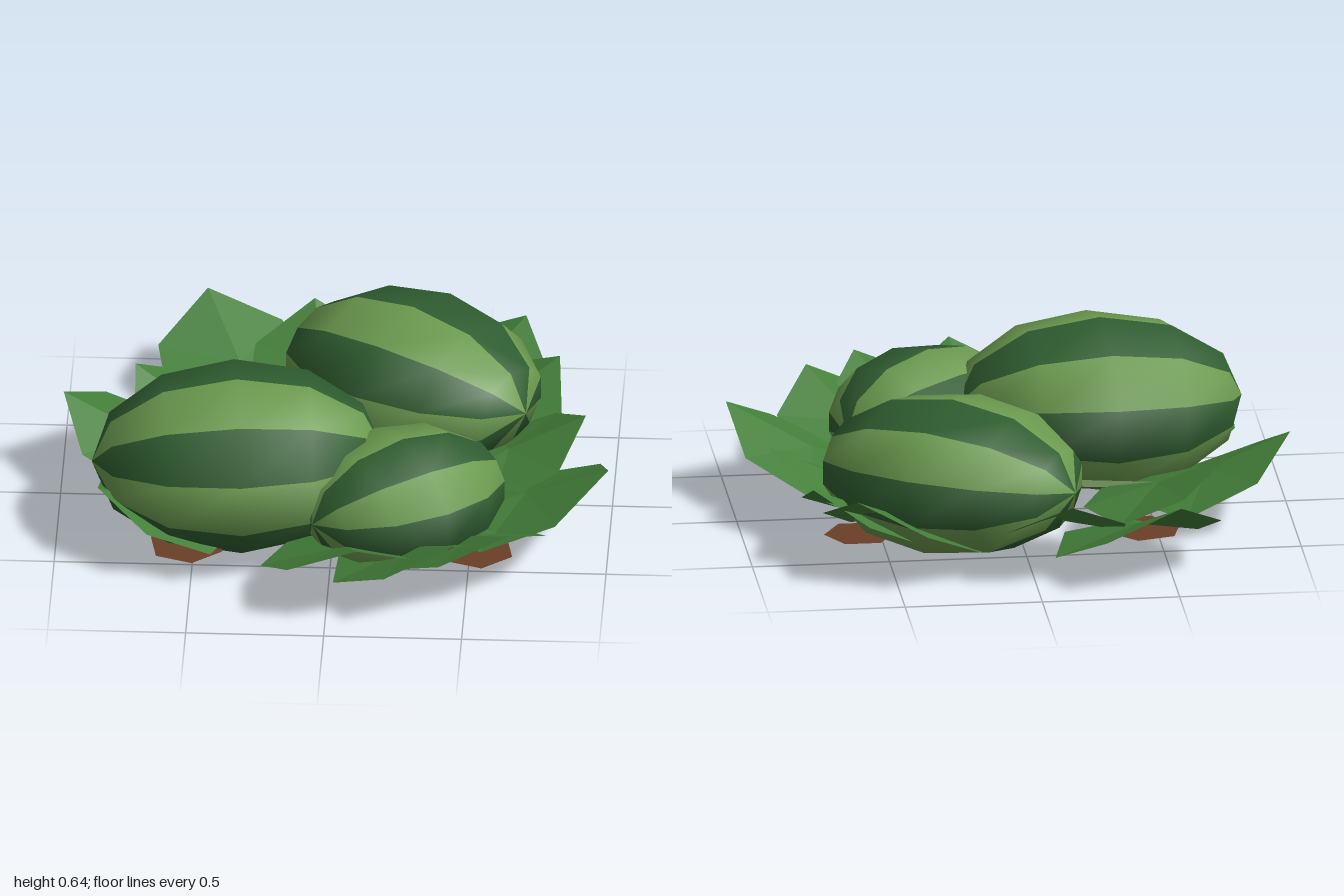
import * as THREE from 'three';

const lightRind = new THREE.MeshStandardMaterial({ color: 0x6b9a4f });
const darkRind = new THREE.MeshStandardMaterial({ color: 0x2f5d30 });
const leafGreen = new THREE.MeshStandardMaterial({ color: 0x44803a, side: THREE.DoubleSide, flatShading: true });
const stemGreen = new THREE.MeshStandardMaterial({ color: 0x5c8040, flatShading: true });
const dryBrown = new THREE.MeshStandardMaterial({ color: 0x6b4028, side: THREE.DoubleSide, flatShading: true });

// Half circle from pole to pole, turned into the melon wedges
const profile = [];
for (let i = 0; i <= 6; i++) {
  const a = (i * Math.PI) / 6;
  profile.push(new THREE.Vector2(Math.sin(a), -Math.cos(a)));
}

// Melon: ten flat-sided wedges of an ellipsoid, alternating light and dark
function makeMelon(center, axis, tilt, [halfLength, halfHeight, halfWidth]) {
  const melon = new THREE.Group();
  melon.name = 'melon';
  const step = Math.PI / 5;
  for (let i = 0; i < 10; i++) {
    const wedge = new THREE.LatheGeometry(profile, 1, -Math.PI / 2 + i * step, step);
    wedge.rotateZ(-Math.PI / 2); // poles along x, first seam on top
    wedge.scale(halfLength, halfHeight, halfWidth);
    const stripe = new THREE.Mesh(wedge, i % 2 ? darkRind : lightRind);
    stripe.name = i % 2 ? 'darkStripe' : 'lightStripe';
    melon.add(stripe);
  }
  melon.position.set(...center);
  melon.rotation.set(0, Math.atan2(-axis[1], axis[0]), tilt);
  return melon;
}

// Polygon leaf with one corner as its tip: the tip rises, the sides fall away from the midrib
function makeLeaf([x, z, radius, heading], { name, material, sides, height, rise, fold }) {
  const angle = THREE.MathUtils.degToRad(heading);
  const geometry = new THREE.CircleGeometry(radius, sides);
  geometry.rotateX(-Math.PI / 2); // tip along +x
  const pos = geometry.attributes.position;
  for (let i = 0; i < pos.count; i++) {
    const along = pos.getX(i);
    const slope = along > 0 ? rise : rise * 0.4;
    pos.setY(i, slope * along - fold * Math.abs(pos.getZ(i)));
  }
  geometry.rotateY(-angle).translate(x, height, z);
  geometry.computeVertexNormals();
  const leaf = new THREE.Mesh(geometry, material);
  leaf.name = name;
  return leaf;
}

// Thin four-sided stem between two points
function makeStem(from, to) {
  const span = to.clone().sub(from);
  const stem = new THREE.Mesh(new THREE.CylinderGeometry(0.016, 0.02, span.length(), 4), stemGreen);
  stem.position.copy(from).addScaledVector(span, 0.5);
  stem.quaternion.setFromUnitVectors(new THREE.Vector3(0, 1, 0), span.normalize());
  stem.name = 'stem';
  return stem;
}

export function createModel() {
  const model = new THREE.Group();
  model.name = 'melonPlant';

  // Three melons: centre, direction of the long axis in x and z, tilt, half sizes
  model.add(
    makeMelon([-0.345, 0.32, 0.26], [1, -0.08], 0.02, [0.53, 0.32, 0.435]),
    makeMelon([0.26, 0.295, -0.405], [0.85, 0.53], 0, [0.495, 0.285, 0.4]),
    makeMelon([0.26, 0.25, 0.405], [-0.82, 0.57], 0, [0.39, 0.24, 0.325]),
  );

  // Ring of leaves: x, z, radius, heading of the tip
  const leaves = [
    [-0.38, -0.68, 0.31, -115],
    [-0.08, -0.62, 0.29, -98],
    [0.45, -0.57, 0.3, -48],
    [0.55, -0.42, 0.27, -30],
    [0.62, -0.08, 0.28, -4],
    [0.7, 0.25, 0.315, 17],
    [0.5, 0.55, 0.29, 57],
    [0.3, 0.65, 0.3, 55],
    [0.06, 0.67, 0.305, 79],
    [-0.6, 0.37, 0.27, 154],
    [-0.7, -0.13, 0.3, -172],
    [-0.5, -0.29, 0.27, -156],
  ];
  leaves.forEach((spec, i) => {
    // small height steps keep overlapping leaves apart
    const height = 0.175 + 0.008 * (i % 3);
    model.add(makeLeaf(spec, { name: 'leaf', material: leafGreen, sides: 7, height, rise: 0.48, fold: 0.28 }));
  });

  // Stems from the middle to the melons and the nearest leaves
  const crown = new THREE.Vector3(0.03, 0.12, -0.03);
  const stemEnds = [[-0.1, 0.1, -0.36], [0.14, 0.2, -0.14], [0.48, 0.14, 0.07], [0.3, 0.12, 0.05], [-0.1, 0.18, 0.1], [-0.5, 0.12, -0.12]];
  for (const end of stemEnds) model.add(makeStem(crown, new THREE.Vector3(...end)));

  // Withered leaves lying low under the green ones
  for (const spec of [[0.53, 0.49, 0.14, 20], [-0.52, 0.5, 0.14, 80], [0.6, -0.42, 0.13, 0], [-0.43, -0.48, 0.14, 45]]) {
    model.add(makeLeaf(spec, { name: 'dryLeaf', material: dryBrown, sides: 6, height: 0.085, rise: 0, fold: 0 }));
  }
  return model;
}
